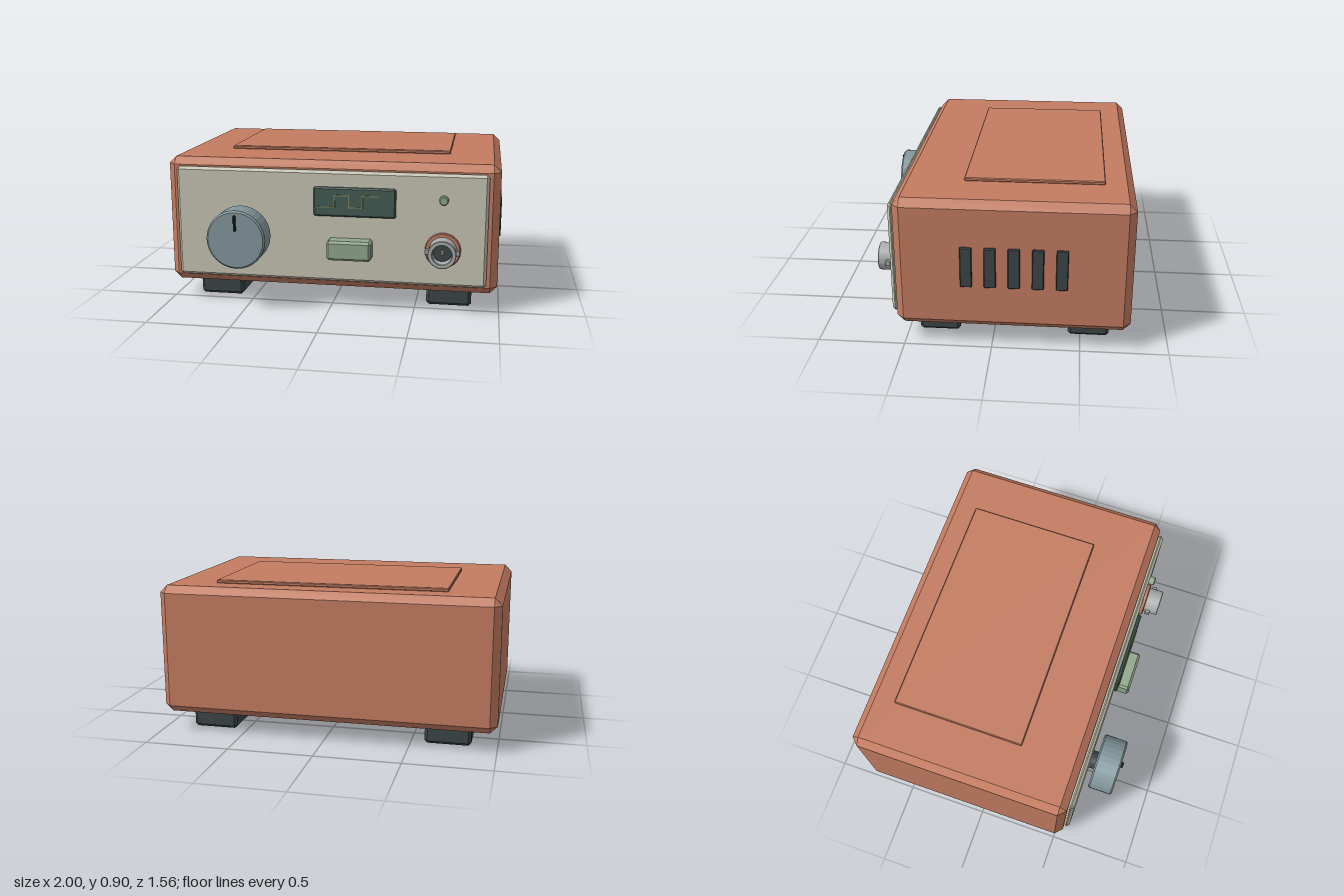
import * as THREE from 'three';
import { ConvexGeometry } from 'three/addons/geometries/ConvexGeometry.js';

const material = (color) => new THREE.MeshStandardMaterial({ color, flatShading: true });
const copper = material(0xc47c61);
const cream = material(0xc6c5b4);
const blueGrey = material(0x82979c);
const charcoal = material(0x3c4548);
const black = material(0x1e2224);
const screenGreen = material(0x445c55);
const sage = material(0x92a88c);
const steel = material(0xa9adab);
const gold = material(0xb5a774);
const traceColor = material(0x7f8560);

export function createModel() {
  const model = new THREE.Group();

  const add = (name, geometry, mat) => {
    const mesh = new THREE.Mesh(geometry, mat);
    mesh.name = name;
    model.add(mesh);
    return mesh;
  };

  // Box given by its limits, with every edge chamfered by c
  const chamferBox = (name, mat, [x0, x1], [y0, y1], [z0, z1], c) => {
    const half = [(x1 - x0) / 2, (y1 - y0) / 2, (z1 - z0) / 2];
    const points = [];
    for (const sx of [-1, 1]) for (const sy of [-1, 1]) for (const sz of [-1, 1]) {
      for (let axis = 0; axis < 3; axis++) {
        const [x, y, z] = half.map((h, i) => (i === axis ? h : h - c));
        points.push(new THREE.Vector3(sx * x, sy * y, sz * z));
      }
    }
    const mesh = add(name, new ConvexGeometry(points), mat);
    mesh.position.set((x0 + x1) / 2, (y0 + y1) / 2, (z0 + z1) / 2);
    return mesh;
  };

  // Turned part facing the front; profile pairs are [radius, z]
  const turned = (name, mat, x, y, profile, sides = 32) => {
    const points = profile.map(([r, z]) => new THREE.Vector2(r, z));
    const geometry = new THREE.LatheGeometry(points, sides).rotateX(Math.PI / 2);
    const mesh = add(name, geometry, mat);
    mesh.position.set(x, y, 0);
    return mesh;
  };
  const disc = (r, z0, z1, b) => [[0, z0], [r - b, z0], [r, z0 + b], [r, z1 - b], [r - b, z1], [0, z1]];

  // Case
  chamferBox('case', copper, [-1, 0.985], [0.115, 0.885], [-0.78, 0.545], 0.043);
  chamferBox('topPlate', copper, [-0.695, 0.68], [0.884, 0.905], [-0.615, 0.18], 0.005);
  chamferBox('frontPanel', cream, [-0.935, 0.92], [0.165, 0.835], [0.54, 0.578], 0.016);

  // Feet
  for (const x of [-0.85, 0.565]) for (const z of [-0.667, 0.2]) {
    chamferBox('foot', charcoal, [x, x + 0.27], [0, 0.116], [z, z + 0.237], 0.017);
  }

  // Side vents
  for (let i = 0; i < 5; i++) {
    const z = 0.14 - i * 0.1325;
    chamferBox('vent', charcoal, [0.97, 1], [0.38, 0.62], [z - 0.033, z + 0.033], 0.004);
  }

  // Level knob
  turned('knobShaft', charcoal, -0.525, 0.445, disc(0.056, 0.57, 0.62, 0.002));
  turned('knob', blueGrey, -0.525, 0.445, disc(0.175, 0.613, 0.765, 0.01));
  chamferBox('knobPointer', black, [-0.532, -0.518], [0.5, 0.593], [0.764, 0.779], 0.002);

  // Display with a square-wave trace
  chamferBox('display', screenGreen, [-0.095, 0.39], [0.568, 0.742], [0.572, 0.6], 0.009);
  const wave = [[-0.07, 0.625], [0.03, 0.625], [0.03, 0.695], [0.115, 0.695],
    [0.115, 0.625], [0.195, 0.625], [0.195, 0.695], [0.29, 0.695]];
  for (let i = 1; i < wave.length; i++) {
    const [[ax, ay], [bx, by]] = [wave[i - 1], wave[i]];
    const width = 0.006;
    const segment = add('displayTrace',
      new THREE.BoxGeometry(Math.abs(bx - ax) + width, Math.abs(by - ay) + width, 0.006), traceColor);
    segment.position.set((ax + bx) / 2, (ay + by) / 2, 0.601);
  }

  // Push button and lamp
  chamferBox('pushButton', sage, [-0.008, 0.255], [0.32, 0.437], [0.57, 0.672], 0.014);
  turned('lamp', sage, 0.665, 0.685, disc(0.027, 0.57, 0.613, 0.006), 20);

  // Output socket
  const [sx, sy] = [0.665, 0.388];
  turned('socketCollar', copper, sx, sy, disc(0.104, 0.57, 0.597, 0.005));
  turned('socketBarrel', steel, sx, sy,
    [[0.082, 0.575], [0.082, 0.685], [0.078, 0.689], [0.06, 0.689], [0.056, 0.685], [0.056, 0.6]]);
  turned('socketInsulator', charcoal, sx, sy, disc(0.056, 0.59, 0.622, 0.001));
  turned('socketPin', gold, sx, sy, disc(0.01, 0.61, 0.655, 0.002), 12);
  for (const side of [-1, 1]) {
    const x = sx + side * 0.086;
    chamferBox('socketLug', steel, [x - 0.015, x + 0.015], [sy - 0.015, sy + 0.015], [0.609, 0.641], 0.003);
  }

  return model;
}
